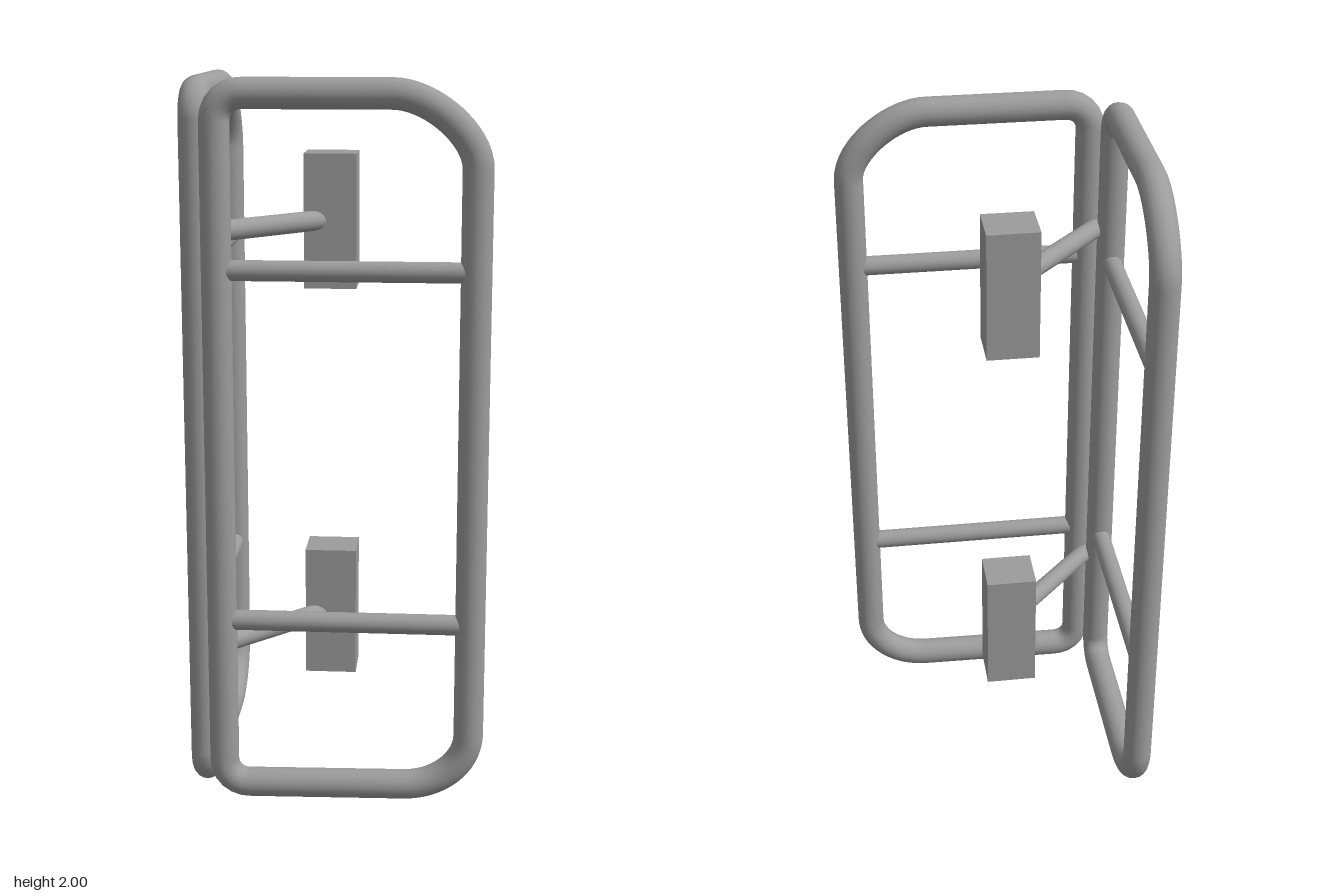
import * as THREE from 'three';

const material = new THREE.MeshStandardMaterial({ color: 0x9c9c9c });
const v = (x, y, z = 0) => new THREE.Vector3(x, y, z);

function add(parent, geometry, name) {
  const mesh = new THREE.Mesh(geometry, material);
  mesh.name = name;
  parent.add(mesh);
  return mesh;
}

// Straight round bar between two points
function addBar(parent, a, b, radius, name) {
  const bar = add(parent, new THREE.CylinderGeometry(radius, radius, a.distanceTo(b), 20), name);
  bar.position.copy(a).lerp(b, 0.5);
  bar.quaternion.setFromUnitVectors(v(0, 1, 0), b.clone().sub(a).normalize());
}

// Closed loop of straight runs joined by rounded corners: [start, corner, end, roundness]
function loopPath(corners) {
  const path = new THREE.CurvePath();
  corners.forEach(([start, corner, end, k], i) => {
    path.add(new THREE.CubicBezierCurve3(
      start, start.clone().lerp(corner, k), end.clone().lerp(corner, k), end));
    path.add(new THREE.LineCurve3(end, corners[(i + 1) % corners.length][0]));
  });
  return path;
}

// Bent tube frame with two crossbars, lying in its own xy plane
function createFrame(name) {
  const frame = new THREE.Group();
  frame.name = name;
  const L = -0.312, R = 0.373, T = 1.96, r = 0.07;
  const path = loopPath([
    [v(L, T - r), v(L, T), v(L + r, T), 0.55],
    [v(0.15, T), v(R, T), v(R, 1.77), 0.45],
    [v(R, 0.205), v(R, 0.049), v(0.19, 0.049), 0.55],
    [v(L + r, 0.042), v(L, 0.04), v(L, 0.04 + r), 0.55],
  ]);
  add(frame, new THREE.TubeGeometry(path, 260, 0.041, 20, true), 'frameTube');
  for (const y of [1.5, 0.526]) addBar(frame, v(L, y), v(R, y), 0.028, 'crossbar');
  return frame;
}

export function createModel() {
  const model = new THREE.Group();
  model.name = 'cornerGuard';

  // Two frames at a right angle
  const front = createFrame('frontFrame');
  front.position.z = 0.368;
  const side = createFrame('sideFrame');
  side.rotation.y = Math.PI / 2;
  side.position.set(-0.374, 0, 0.003);
  model.add(front, side);

  // Mounting blocks with diagonal struts reaching the corner
  for (const [blockY, strutY] of [[1.594, 1.596], [0.448, 0.438]]) {
    const block = add(model, new THREE.BoxGeometry(0.147, 0.376, 0.134), 'mountingBlock');
    block.position.set(-0.035, blockY, 0.002);
    addBar(model, v(-0.34, strutY, 0.34), v(-0.04, strutY, 0.022), 0.028, 'diagonalStrut');
  }
  return model;
}
